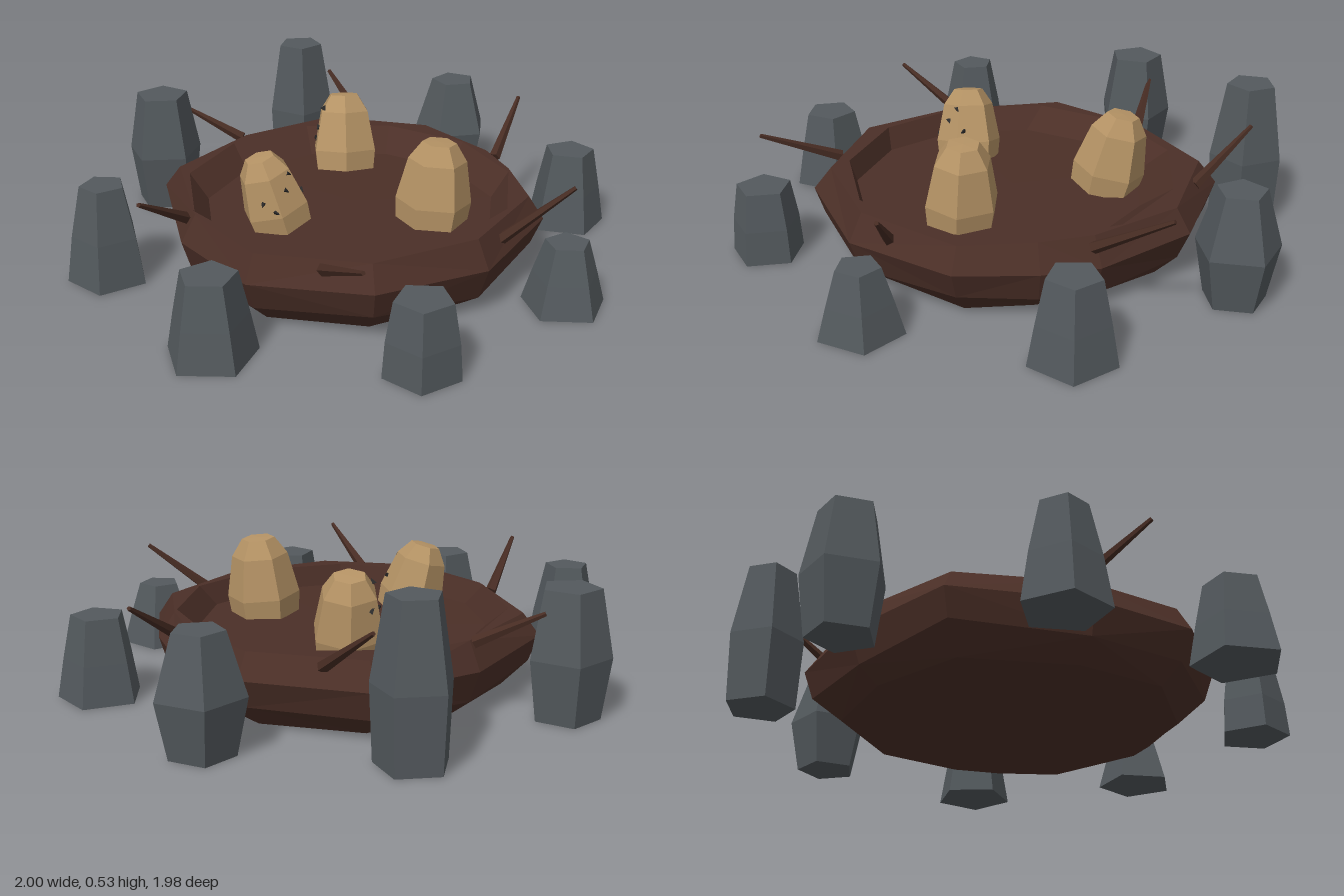
import * as THREE from 'three';

const V = (x, y, z) => new THREE.Vector3(x, y, z);
const UP = V(0, 1, 0);
const DEG = Math.PI / 180;

// Faceted skin over rings of points listed from bottom to top
function loft(rings) {
  const pos = [];
  const tri = (a, b, c) => {
    const area = b.clone().sub(a).cross(c.clone().sub(a)).length();
    if (area > 1e-7) for (const p of [a, b, c]) pos.push(p.x, p.y, p.z);
  };
  for (let k = 0; k + 1 < rings.length; k++) {
    const lo = rings[k], hi = rings[k + 1], n = lo.length;
    for (let i = 0; i < n; i++) {
      const j = (i + 1) % n;
      if ((i + k) % 2) {
        tri(lo[i], hi[i], hi[j]);
        tri(lo[i], hi[j], lo[j]);
      } else {
        tri(lo[i], hi[i], lo[j]);
        tri(hi[i], hi[j], lo[j]);
      }
    }
  }
  const geo = new THREE.BufferGeometry();
  geo.setAttribute('position', new THREE.Float32BufferAttribute(pos, 3));
  geo.computeVertexNormals();
  return geo;
}

// Regular ring with n sides
const ring = (n, r, y, start = 0, z = 0) => Array.from({ length: n }, (_, i) => {
  const a = start + i / n * Math.PI * 2;
  return V(Math.cos(a) * r, y, z + Math.sin(a) * r);
});

export function createModel() {
  const model = new THREE.Group();
  const mat = (name, color) => {
    const m = new THREE.MeshStandardMaterial({ color });
    m.name = name;
    return m;
  };
  const nestBrown = mat('nestBrown', 0x4b2f27);
  const twigBrown = mat('twigBrown', 0x472c23);
  const stoneGrey = mat('stoneGrey', 0x53595d);
  const eggTan = mat('eggTan', 0xb59365);
  const speckDark = mat('speckDark', 0x2b2a2a);
  const add = (parent, name, geo, material) => {
    const mesh = new THREE.Mesh(geo, material);
    mesh.name = name;
    parent.add(mesh);
    return mesh;
  };

  // Nest: irregular outline (x, z), scaled for each outer level, with a rounder hollow inside
  const outline = [[0.65, -0.1], [0.68, 0.18], [0.43, 0.54], [0.04, 0.71], [-0.37, 0.61], [-0.59, 0.28],
    [-0.68, -0.19], [-0.42, -0.53], [-0.05, -0.74], [0.37, -0.61], [0.59, -0.3]];
  const level = (s, y, wobble = 0) => outline.map(([x, z], i) => {
    const k = s * (1 + wobble * Math.sin(i * 2.4 + 1));
    return V(x * k, y + wobble * Math.sin(i * 2.4), z * k);
  });
  add(model, 'nest', loft([
    level(0, 0), level(0.82, 0), level(0.945, 0.075, 0.02), level(1, 0.18, 0.01), level(0.92, 0.268),
    ring(11, 0.595, 0.268, -0.1), ring(11, 0.525, 0.19, -0.1, 0.045), ring(11, 0, 0.195),
  ]), nestBrown);

  // Standing stones: x, z, height, radius, first corner angle, base / middle / top widths
  const stones = [
    [-0.16, -0.87, 0.53, 0.135, 86, 0.92, 1, 0.66],
    [0.475, -0.75, 0.4, 0.15, -98, 0.74, 1, 0.58],
    [0.85, -0.2, 0.295, 0.15, 0, 1, 0.83, 0.62],
    [0.7, 0.47, 0.235, 0.148, -83, 1, 0.78, 0.52],
    [0.175, 0.87, 0.26, 0.13, 97, 1, 0.93, 0.75],
    [-0.475, 0.73, 0.285, 0.155, -85, 1, 0.83, 0.62],
    [-0.86, 0.18, 0.355, 0.145, 97, 1, 0.82, 0.55],
    [-0.71, -0.495, 0.445, 0.145, -92, 0.8, 1, 0.7],
  ];
  for (const [x, z, h, r, turn, base, mid, top] of stones) {
    const at = (s, y) => ring(5, r * s, y, turn * DEG);
    add(model, 'stone', loft([at(0, 0), at(base, 0), at(mid, h * 0.48), at(top, h), at(0, h)]),
      stoneGrey).position.set(x, 0, z);
  }

  // Twigs poking out of the rim: root to tip
  const twigs = [
    [0.1, 0.24, -0.65, -0.04, 0.41, -0.86],
    [-0.4, 0.26, -0.485, -0.62, 0.37, -0.545],
    [0.575, 0.24, -0.27, 0.705, 0.4, -0.51],
    [0.48, 0.21, 0.395, 0.73, 0.4, 0.4],
    [-0.12, 0.245, 0.64, -0.01, 0.37, 0.91],
    [-0.58, 0.24, 0.22, -0.705, 0.4, 0.46],
  ];
  for (const [x0, y0, z0, x1, y1, z1] of twigs) {
    const a = V(x0, y0, z0), b = V(x1, y1, z1);
    const geo = new THREE.CylinderGeometry(0.008, 0.022, a.distanceTo(b), 5).toNonIndexed();
    geo.computeVertexNormals();
    const twig = add(model, 'twig', geo, twigBrown);
    twig.position.copy(a).lerp(b, 0.5);
    twig.quaternion.setFromUnitVectors(UP, b.sub(a).normalize());
  }

  // Eggs: base x, z, lean x, z, scale, first corner angle, speck positions (angle, height)
  const profile = [[0, 0], [0.126, 0], [0.134, 0.075], [0.103, 0.225], [0.06, 0.288], [0, 0.29]];
  const radiusAt = y => {
    const k = profile.findIndex((p, i) => i > 1 && p[1] >= y);
    const [r0, y0] = profile[k - 1], [r1, y1] = profile[k];
    return r0 + (r1 - r0) * (y - y0) / (y1 - y0);
  };
  const eggs = [
    [0, -0.335, 0, -0.22, 0.98, 30, [[150, 0.24], [170, 0.16], [200, 0.11], [225, 0.19]]],
    [-0.25, 0.17, -0.28, 0.01, 0.9, 18, [[85, 0.1], [50, 0.16], [25, 0.21], [8, 0.12], [105, 0.14]]],
    [0.28, 0.17, 0.08, -0.04, 1, 4, []],
  ];
  for (const [x, z, lx, lz, s, turn, specks] of eggs) {
    const egg = new THREE.Group();
    egg.name = 'egg';
    egg.position.set(x, 0.19, z);
    egg.quaternion.setFromUnitVectors(UP, V(lx, 1, lz).normalize());
    egg.scale.setScalar(s);
    add(egg, 'eggShell', loft(profile.map(([r, y]) => ring(6, r, y, turn * DEG))), eggTan);
    for (const [deg, y] of specks) {
      // distance to the flat side of the six-sided shell
      const off = (((deg - turn) % 60) + 60) % 60 - 30;
      const a = deg * DEG, r = radiusAt(y) * Math.cos(30 * DEG) / Math.cos(off * DEG);
      const speck = add(egg, 'speck', new THREE.TetrahedronGeometry(0.016), speckDark);
      speck.position.set(Math.cos(a) * r, y, Math.sin(a) * r);
      speck.rotation.set(0, -a, deg);
    }
    model.add(egg);
  }
  return model;
}
